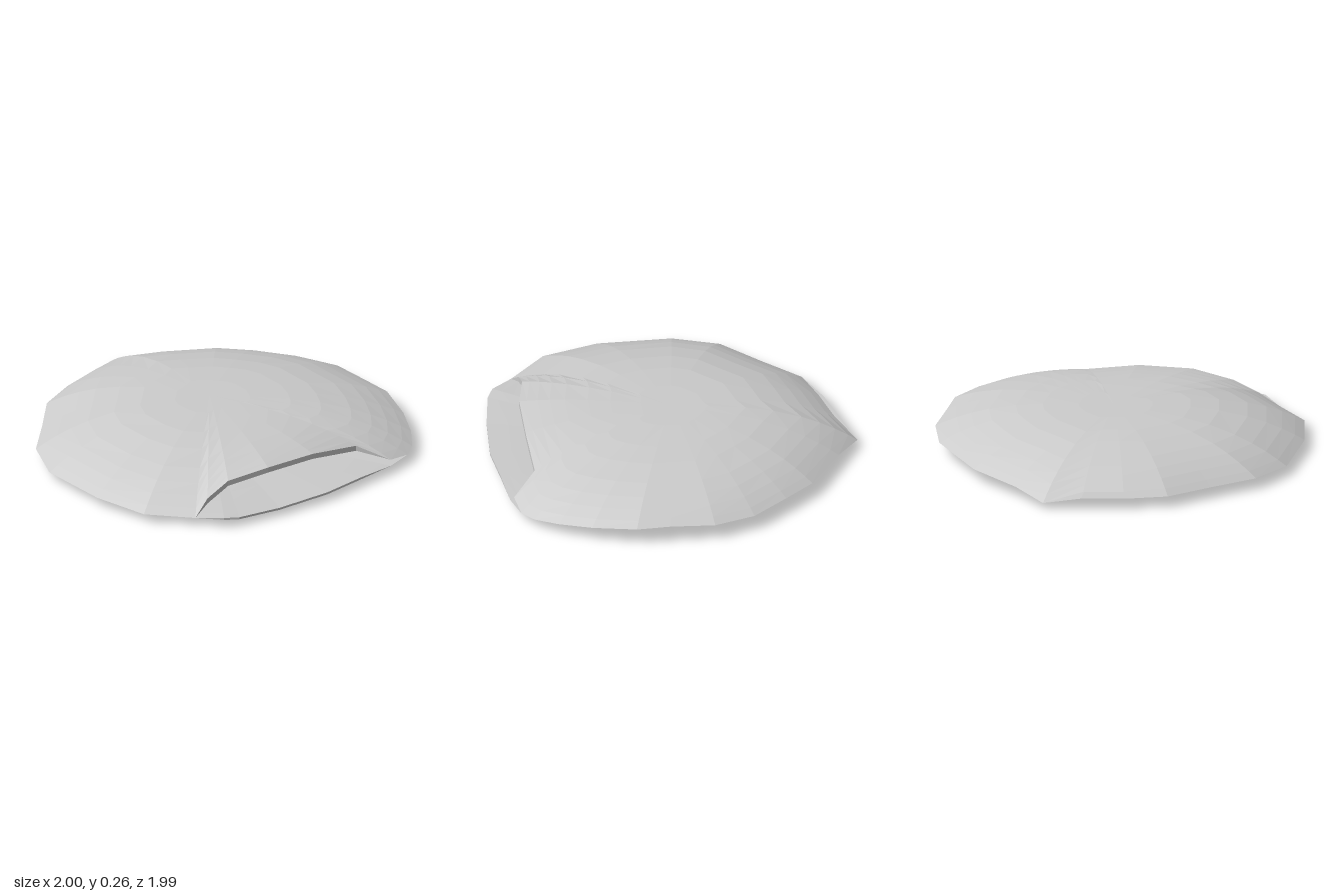
import * as THREE from 'three';

// Rim of the pouch as [x, y, z], from the back tip round by +x
const RIM = [
  [0, .04, -1], [.2, .07, -.9], [.5, .08, -.76], [.66, .085, -.62], [.83, .08, -.45],
  [.94, .09, -.24], [.97, .1, 0], [1, .1, .18], [.96, .085, .42], [.9, .07, .6],
  [.83, .055, .73], [.76, .05, .8], [.62, .045, .86], [.4, .04, .91], [.16, .04, .97],
  [-.15, .035, .99], [-.4, .04, .985], [-.48, .045, .96], [-.6, .045, .86], [-.82, .05, .69],
  [-.94, .055, .4], [-1, .05, 0], [-.93, .06, -.26], [-.76, .06, -.48], [-.6, .06, -.7],
  [-.4, .06, -.82], [-.18, .06, -.91],
];

// Where the roof leaves the rim: the front mouth and a small slit at the back
const ROOF_EDGE = {
  12: [.63, .07, .84], 13: [.48, .145, .73], 14: [.18, .195, .78], 15: [-.12, .205, .815],
  16: [-.36, .18, .8], 17: [-.5, .12, .82],
  25: [-.38, .085, -.79], 26: [-.18, .085, -.87],
};

const RINGS = [0, .2, .4, .55, .7, .8, .88, .95, 1];

// A closed sheet: upper side from centre to edge, then lower side back to centre
function sheet(name, edge, upperY, lowerY, material) {
  const rows = [
    ...RINGS.map(s => [s, upperY]),
    ...[...RINGS].reverse().map(s => [s, lowerY]),
  ];
  const n = edge.length, positions = [], index = [];
  rows.forEach(([s, heightAt]) => edge.forEach(([x, y, z], i) => {
    positions.push(x * s, heightAt(s, y, i), z * s);
  }));
  for (let k = 0; k < rows.length - 1; k++) {
    for (let i = 0; i < n; i++) {
      const j = (i + 1) % n;
      const a = k * n + i, b = k * n + j, c = (k + 1) * n + j, d = (k + 1) * n + i;
      if (rows[k][0] > 0) index.push(a, b, c);
      if (k === 0) index.push(a, c, d);
      else if (rows[k + 1][0] > 0) index.push(a, c, d);
    }
  }
  const geometry = new THREE.BufferGeometry();
  geometry.setAttribute('position', new THREE.Float32BufferAttribute(positions, 3));
  geometry.setIndex(index);
  geometry.computeVertexNormals();
  const mesh = new THREE.Mesh(geometry, material);
  mesh.name = name;
  return mesh;
}

export function createModel() {
  const group = new THREE.Group();
  group.name = 'flatPouch';
  const material = new THREE.MeshStandardMaterial({
    color: 0xcccccc, flatShading: true, side: THREE.DoubleSide,
  });

  // Thickness fades to nothing at the sealed rim and stays as a lip at the mouth
  const isMouth = i => i > 12 && i < 18;
  const thickness = (s, i, body, lip) => body + ((isMouth(i) ? lip : 0) - body) * s ** 4;

  // Domed roof
  const roofY = (s, y) => y + (.257 - y) * (1 - s ** 3.1);
  const ceilingY = (s, y, i) => roofY(s, y) - thickness(s, i, .03, .03);
  const roofEdge = RIM.map((p, i) => ROOF_EDGE[i] ?? p);
  group.add(sheet('roof', roofEdge, roofY, ceilingY, material));

  // Shallow floor, reaching out past the mouth
  const underY = (s, y) => y * s ** 2.2;
  const floorY = (s, y, i) => underY(s, y) + thickness(s, i, .035, .012);
  group.add(sheet('floor', RIM, floorY, underY, material));

  return group;
}
